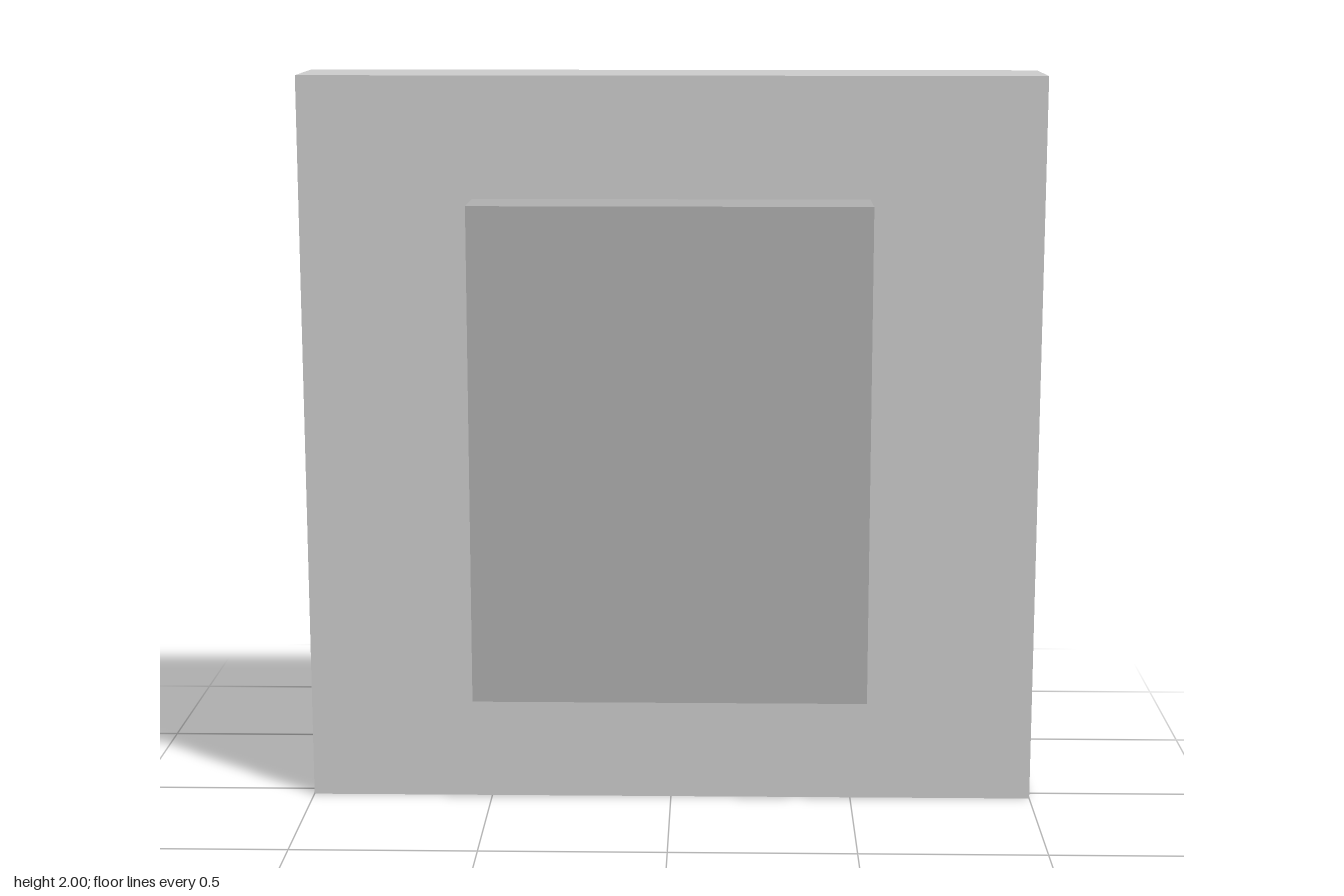
import * as THREE from 'three';

// Box spanning the given width and height, centred at y = 1, from z0 to z1
function slab(name, width, height, z0, z1, color) {
  const mesh = new THREE.Mesh(
    new THREE.BoxGeometry(width, height, z1 - z0),
    new THREE.MeshStandardMaterial({ color })
  );
  mesh.name = name;
  mesh.position.set(0, 1, (z0 + z1) / 2);
  return mesh;
}

export function createModel() {
  const model = new THREE.Group();
  model.name = 'panelOnPlate';
  // Square back plate
  model.add(slab('backPlate', 2, 2, -0.233, 0.046, 0xcccccc));
  // Darker raised panel on the front
  model.add(slab('frontPanel', 1.067, 1.344, 0.046, 0.233, 0xaeaeae));
  return model;
}
